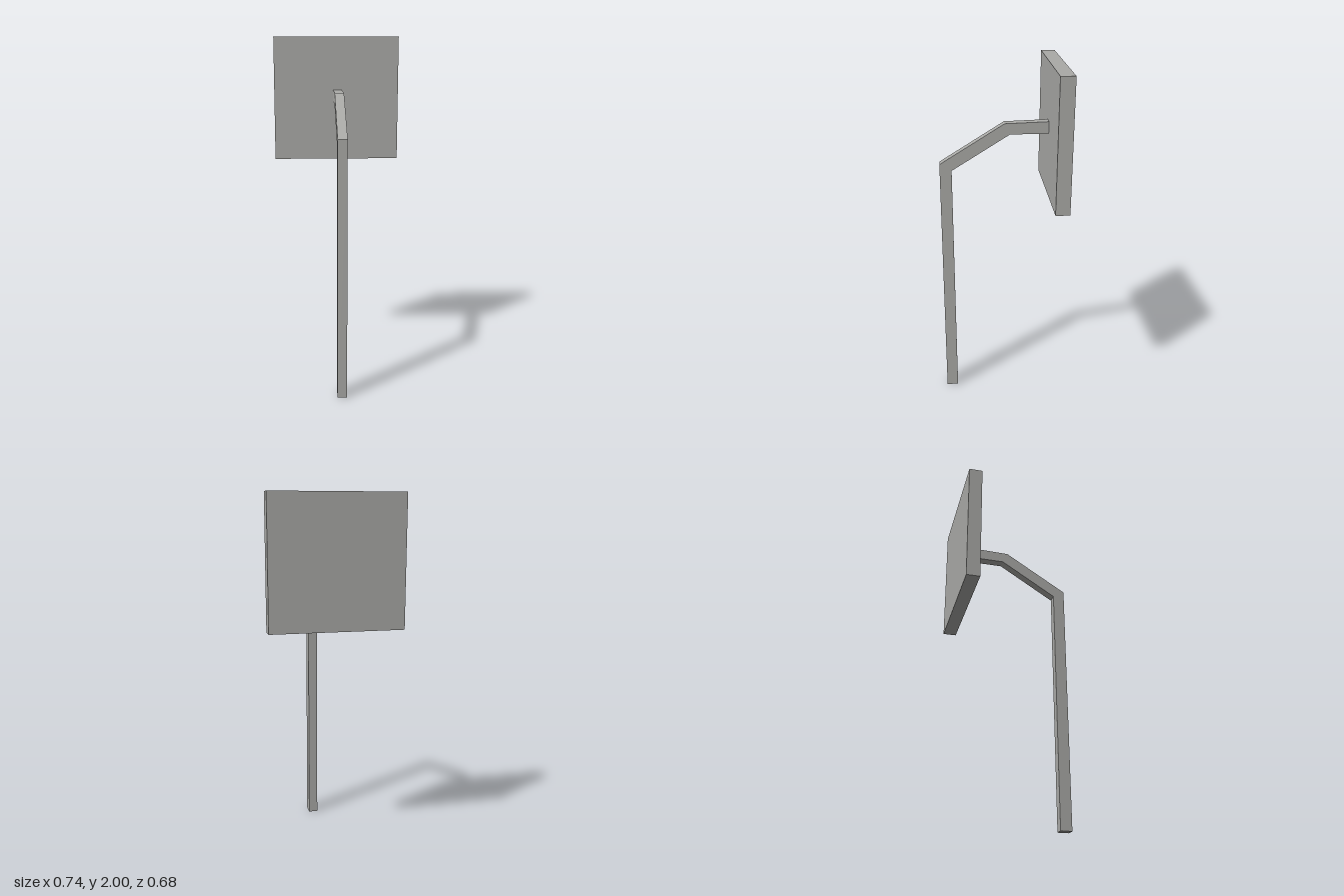
import * as THREE from 'three';

export function createModel() {
  const group = new THREE.Group();
  const grey = new THREE.MeshStandardMaterial({ color: 0xaaaaa7 });
  grey.name = 'lightGrey';

  // Bent post: side profile as (z, y), extruded across x
  const profile = [
    [0.338, 0], [0.338, 1.46], [-0.02, 1.682], [-0.262, 1.689],
    [-0.262, 1.622], [-0.05, 1.622], [0.272, 1.422], [0.272, 0],
  ].map(([z, y]) => new THREE.Vector2(z, y));
  const postGeometry = new THREE.ExtrudeGeometry(new THREE.Shape(profile), {
    depth: 0.053, bevelEnabled: false,
  });
  postGeometry.rotateY(-Math.PI / 2).translate(0.033, 0, 0);
  const post = new THREE.Mesh(postGeometry, grey);
  post.name = 'bentPost';
  group.add(post);

  // Square board at the end of the arm
  const board = new THREE.Mesh(new THREE.BoxGeometry(0.74, 0.722, 0.078), grey);
  board.name = 'backboard';
  board.position.set(0, 1.639, -0.3);
  group.add(board);

  return group;
}
